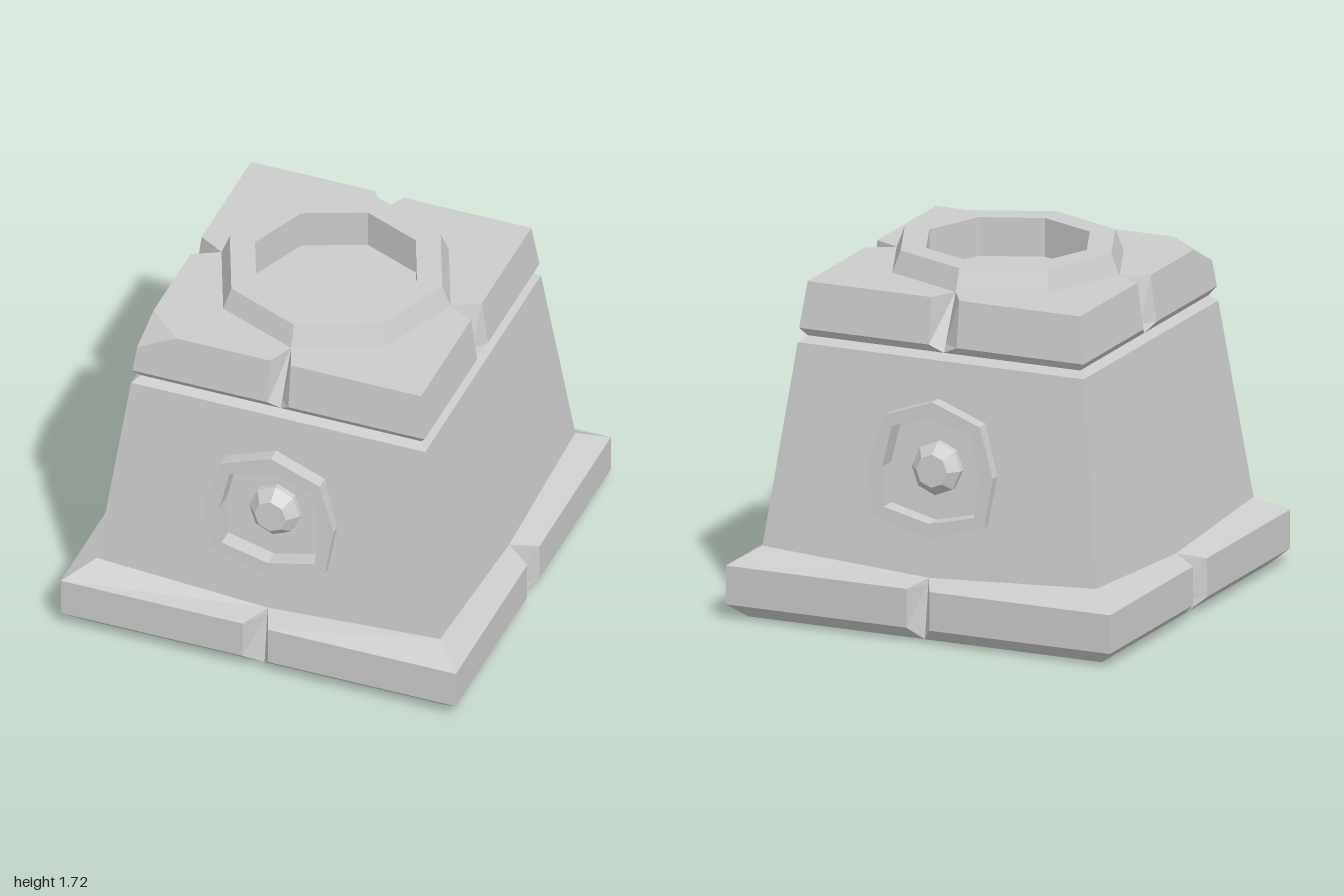
import * as THREE from 'three';

const material = new THREE.MeshStandardMaterial({ color: 0xcccccc, flatShading: true, side: THREE.DoubleSide });

function makeMesh(name, geometry) {
  const g = geometry.index ? geometry.toNonIndexed() : geometry;
  g.computeVertexNormals();
  const mesh = new THREE.Mesh(g, material);
  mesh.name = name;
  return mesh;
}

// Skin closed loops of points (counter-clockwise seen from outside), optionally capping the last
function loft(loops, capEnd = false) {
  const pos = [];
  const tri = (a, b, c) => {
    const area = b.clone().sub(a).cross(c.clone().sub(a)).length();
    if (area > 1e-7) pos.push(...a.toArray(), ...b.toArray(), ...c.toArray());
  };
  for (let k = 0; k < loops.length - 1; k++) {
    const lo = loops[k], hi = loops[k + 1];
    for (let i = 0; i < lo.length; i++) {
      const j = (i + 1) % lo.length;
      tri(lo[i], lo[j], hi[j]);
      tri(lo[i], hi[j], hi[i]);
    }
  }
  if (capEnd) {
    const last = loops[loops.length - 1];
    for (let i = 1; i < last.length - 1; i++) tri(last[0], last[i], last[i + 1]);
  }
  const g = new THREE.BufferGeometry();
  g.setAttribute('position', new THREE.Float32BufferAttribute(pos, 3));
  return g;
}

const V = (x, y, z) => new THREE.Vector3(x, y, z);
const UP = V(0, 1, 0);

// Uneven notch half-widths for the front, left, back and right sides
const baseNotch = [[-0.08, 0.05], [-0.08, 0.08], [-0.06, 0.06], [-0.08, 0.08]];
const capNotch = [[-0.055, 0.05], [-0.065, 0.075], [-0.065, 0.08], [-0.075, 0.07]];

// Square loop with a V notch in the middle of each side.
// Without notch widths the notch closes to a single point on the side.
function squareLoop({ y, h, notch, tipY = y, tipZ = h, chip }) {
  const loop = [];
  for (let s = 0; s < 4; s++) {
    const [l, r] = notch ? notch[s] : [0, 0];
    const ny = notch ? y : tipY, nz = notch ? h : tipZ;
    const corner = chip && s === 0 ? chip : [V(-h, y, h), V(-h, y, h), V(-h, y, h)];
    const side = [...corner, V(l, ny, nz), V(0, tipY, tipZ), V(r, ny, nz)];
    side.forEach(p => loop.push(p.clone().applyAxisAngle(UP, s * Math.PI / 2)));
  }
  return loop;
}

const octagon = (r, y) => Array.from({ length: 8 }, (_, i) =>
  V(r * Math.sin(i * Math.PI / 4), y, r * Math.cos(i * Math.PI / 4)));

// Sloping side of the body
const faceZ = y => 0.87 - 0.1276 * (y - 0.34);

// Medallion outlines, from the top counter-clockwise
const mirrored = half => [...half, ...half.slice(1, -1).reverse().map(([x, y]) => [-x, y])];
const outer = mirrored([[0, 1.14], [-0.25, 1.05], [-0.325, 0.81], [-0.29, 0.57], [0, 0.48]]);
const inner = mirrored([[0, 1.06], [-0.205, 1.005], [-0.25, 0.8], [-0.235, 0.61], [0, 0.555]]);
const knob = r => Array.from({ length: 8 }, (_, i) =>
  [-r * Math.sin(i * Math.PI / 4), 0.805 + r * Math.cos(i * Math.PI / 4)]);

function bodyPanel(withHole) {
  const shape = new THREE.Shape([[-0.87, 0.34], [0, 0.29], [0.87, 0.34], [0.745, 1.32], [-0.745, 1.32]]
    .map(p => new THREE.Vector2(...p)));
  if (withHole) shape.holes.push(new THREE.Path(outer.map(p => new THREE.Vector2(...p))));
  const g = new THREE.ShapeGeometry(shape);
  const p = g.attributes.position;
  for (let i = 0; i < p.count; i++) p.setZ(i, faceZ(p.getY(i)));
  return makeMesh('bodyPanel', g);
}

function medallion() {
  const group = new THREE.Group();
  group.name = 'medallion';
  const place = (points, z) => points.map(([x, y]) => V(x, y, z(y)));
  const front = y => 0.885 - 0.068 * (y - 0.48);
  const floor = y => faceZ(y) - 0.045;
  group.add(
    makeMesh('medallionRing', loft([place(outer, faceZ), place(outer, front), place(inner, front),
      place(inner, floor), place(knob(0.127), floor)])),
    makeMesh('medallionKnob', loft([place(knob(0.127), floor), place(knob(0.127), y => floor(y) + 0.03),
      place(knob(0.08), y => front(y) - 0.015)], true)));
  return group;
}

export function createModel() {
  const model = new THREE.Group();
  model.name = 'pedestal';

  // Notched plinth, open underneath
  model.add(makeMesh('base', loft([
    squareLoop({ y: 0, h: 0.92 }),
    squareLoop({ y: 0.07, h: 1, notch: baseNotch, tipZ: 0.91 }),
    squareLoop({ y: 0.26, h: 1, notch: baseNotch, tipZ: 0.884 }),
    squareLoop({ y: 0.34, h: 0.87, tipY: 0.29, tipZ: faceZ(0.29) }),
  ])));

  // Tapered body, with a medallion on the front and back
  const body = new THREE.Group();
  body.name = 'body';
  for (let s = 0; s < 4; s++) {
    const side = new THREE.Group();
    side.name = 'bodySide';
    side.add(bodyPanel(s % 2 === 0));
    if (s % 2 === 0) side.add(medallion());
    side.rotation.y = s * Math.PI / 2;
    body.add(side);
  }
  model.add(body);

  // Neck and notched cap, with one broken corner
  const chip = [V(-0.71, 1.615, 0.54), V(-0.723, 1.52, 0.723), V(-0.53, 1.615, 0.71)];
  const rim = squareLoop({ y: 1.615, h: 0.71, notch: capNotch, tipZ: 0.58, chip });
  model.add(makeMesh('cap', loft([
    squareLoop({ y: 1.32, h: 0.745 }),
    squareLoop({ y: 1.35, h: 0.71 }),
    squareLoop({ y: 1.39, h: 0.74, notch: capNotch, tipZ: 0.69 }),
    rim,
  ])));
  model.add(makeMesh('chippedCorner', new THREE.BufferGeometry().setFromPoints(chip)));

  // Flat cap top, opened under the octagonal ring
  const flat = p => new THREE.Vector2(p.x, -p.z);
  const outline = rim.filter((p, i) => p.y > 1.6 && (i < 3 || (i % 6 !== 1 && i % 6 !== 2)));
  const topShape = new THREE.Shape(outline.map(flat));
  topShape.holes.push(new THREE.Path(octagon(0.5, 0).map(flat)));
  const top = new THREE.ShapeGeometry(topShape).rotateX(-Math.PI / 2).translate(0, 1.615, 0);
  model.add(makeMesh('capTop', top));

  // Octagonal ring with a shallow well
  model.add(makeMesh('topRing', loft([
    octagon(0.58, 1.615), octagon(0.538, 1.72), octagon(0.41, 1.72), octagon(0.41, 1.53),
  ], true)));

  return model;
}
